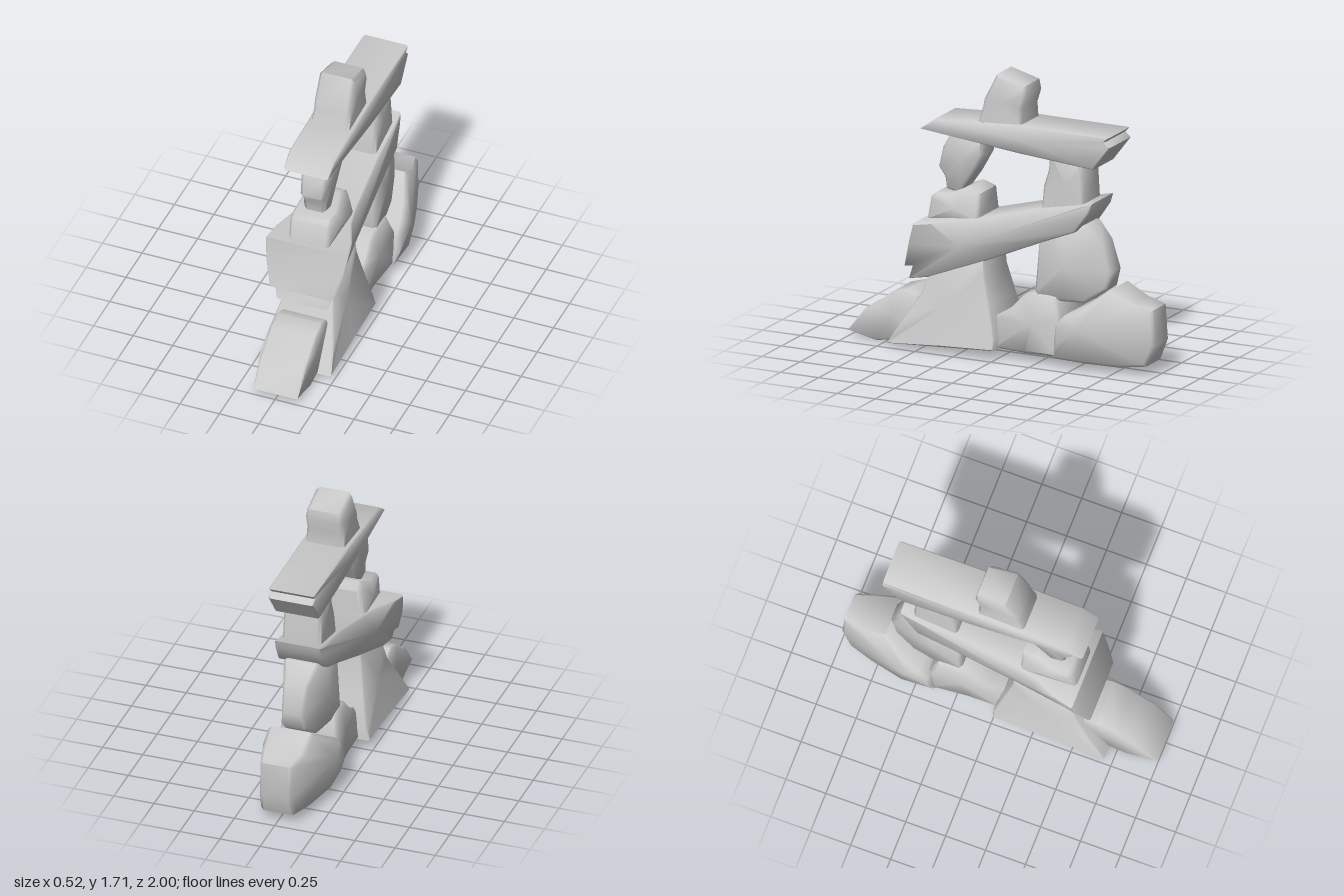
import * as THREE from 'three';
import { toCreasedNormals } from 'three/addons/utils/BufferGeometryUtils.js';

const material = new THREE.MeshStandardMaterial({ color: 0xcccccc });

// A stone is a side outline of [z, y, halfWidth] points, lofted across x
// through four loops. Each flank closes in a fan around the core point.
function stone(name, core, outline, bevel = 0.02) {
  let pts = outline.map(([z, y, w]) => ({ p: new THREE.Vector2(z, y), w }));
  if (THREE.ShapeUtils.isClockWise(pts.map(o => o.p))) pts = pts.reverse();
  const n = pts.length;

  // Inset outline for the two flanks
  const inset = pts.map(({ p }, i) => {
    const d1 = p.clone().sub(pts[(i + n - 1) % n].p).normalize();
    const d2 = pts[(i + 1) % n].p.clone().sub(p).normalize();
    const inward = new THREE.Vector2(-d1.y - d2.y, d1.x + d2.x).normalize();
    return p.clone().addScaledVector(inward, bevel);
  });

  const position = [], index = [];
  for (const [side, flank] of [[-1, true], [-1, false], [1, false], [1, true]]) {
    pts.forEach(({ p, w }, i) => {
      const q = flank ? inset[i] : p;
      position.push(side * (flank ? w : w - bevel), q.y, q.x);
    });
  }
  const [cz, cy, cw] = core;
  position.push(-cw, cy, cz, cw, cy, cz);

  for (let i = 0; i < n; i++) {
    const j = (i + 1) % n;
    // Rim between neighbouring loops
    for (let r = 0; r < 3 * n; r += n) {
      index.push(r + i, r + n + j, r + j, r + i, r + n + i, r + n + j);
    }
    // Flanks
    index.push(i, j, 4 * n, 3 * n + j, 3 * n + i, 4 * n + 1);
  }
  const geometry = new THREE.BufferGeometry();
  geometry.setAttribute('position', new THREE.Float32BufferAttribute(position, 3));
  geometry.setIndex(index);
  const mesh = new THREE.Mesh(toCreasedNormals(geometry, 0.95), material);
  mesh.name = name;
  return mesh;
}

export function createModel() {
  const group = new THREE.Group();
  group.name = 'stackedStones';
  group.add(
    // Ground stones
    stone('frontToeStone', [0.7, 0.17, 0.145], [
      [1, 0.04, 0.14], [0.88, 0.19, 0.145], [0.82, 0.22, 0.145], [0.72, 0.3, 0.145],
      [0.62, 0.33, 0.145], [0.54, 0.3, 0.145], [0.5, 0.06, 0.145], [0.7, 0.02, 0.145], [0.81, 0, 0.145]], 0.01),
    stone('frontBaseStone', [0.32, 0.3, 0.178], [
      [0.7, 0.02, 0.23], [0.6, 0.18, 0.205], [0.5, 0.34, 0.165], [0.46, 0.46, 0.15],
      [0.1, 0.6, 0.14], [0.095, 0.5, 0.15], [0.05, 0.32, 0.18], [0, 0.13, 0.215], [0, 0.06, 0.23],
      [0.35, 0.04, 0.23]], 0.01),
    stone('middleBaseStone', [-0.22, 0.24, 0.165], [
      [0.02, 0.06, 0.16], [0.03, 0.25, 0.14], [-0.06, 0.3, 0.15], [-0.155, 0.4, 0.145],
      [-0.26, 0.43, 0.145], [-0.37, 0.415, 0.16], [-0.42, 0.29, 0.18], [-0.4, 0.06, 0.18], [-0.18, 0.05, 0.16]]),
    stone('rearBoulder', [-0.55, 0.26, 0.232], [
      [-0.37, 0.055, 0.19], [-0.39, 0.16, 0.22], [-0.4, 0.27, 0.22], [-0.46, 0.335, 0.215], [-0.57, 0.39, 0.19],
      [-0.71, 0.495, 0.14], [-0.85, 0.425, 0.13], [-0.98, 0.4, 0.1], [-0.995, 0.19, 0.1],
      [-0.94, 0.055, 0.11], [-0.79, 0.04, 0.15], [-0.58, 0.05, 0.2]]),
    // Lower rear pillar, narrowing to the back
    stone('lowerRearPillar', [-0.42, 0.6, 0.135], [
      [-0.25, 0.78, 0.125], [-0.4, 0.84, 0.125], [-0.54, 0.86, 0.11], [-0.64, 0.76, 0.08], [-0.7, 0.59, 0.07],
      [-0.67, 0.48, 0.08], [-0.54, 0.39, 0.11], [-0.4, 0.39, 0.135], [-0.235, 0.4, 0.135], [-0.225, 0.44, 0.135]]),
    // Sloping slab, broad at the front
    stone('slopingSlab', [0.25, 0.65, 0.18], [
      [0.6, 0.495, 0.2], [0.55, 0.65, 0.243], [0.51, 0.78, 0.26], [0.4, 0.797, 0.24], [0.25, 0.817, 0.18],
      [0.14, 0.83, 0.158], [-0.26, 0.94, 0.145], [-0.53, 0.995, 0.145], [-0.61, 1.015, 0.14],
      [-0.59, 0.955, 0.145], [-0.5, 0.83, 0.16], [-0.28, 0.74, 0.155], [0.1, 0.575, 0.15],
      [0.46, 0.435, 0.16], [0.59, 0.41, 0.16], [0.55, 0.5, 0.19]], 0.01),
    // Front stack
    stone('frontStackLowerStone', [0.3, 0.87, 0.15], [
      [0.49, 0.77, 0.125], [0.46, 0.92, 0.13], [0.43, 0.945, 0.13], [0.34, 0.95, 0.13],
      [0.22, 1, 0.11], [0.145, 0.97, 0.12], [0.14, 0.8, 0.15]]),
    stone('frontStackUpperStone', [0.28, 1.16, 0.08], [
      [0.35, 1.32, 0.075], [0.14, 1.3, 0.08], [0.14, 1.2, 0.085], [0.21, 1.07, 0.075], [0.3, 0.94, 0.07],
      [0.39, 0.96, 0.07], [0.4, 1.03, 0.07], [0.44, 1.09, 0.075], [0.41, 1.21, 0.08]]),
    // Upper rear pillar
    stone('upperRearPillar', [-0.41, 1.1, 0.115], [
      [-0.31, 1.29, 0.11], [-0.51, 1.27, 0.11], [-0.53, 1.17, 0.115], [-0.54, 0.96, 0.12],
      [-0.26, 0.92, 0.12], [-0.27, 1.07, 0.115], [-0.3, 1.17, 0.11]]),
    // Lintel and head
    stone('lintelSlab', [-0.15, 1.34, 0.145], [
      [0.53, 1.325, 0.138], [0.43, 1.395, 0.145], [0.16, 1.41, 0.145], [-0.13, 1.43, 0.145],
      [-0.72, 1.43, 0.14], [-0.69, 1.4, 0.14], [-0.725, 1.37, 0.14], [-0.61, 1.22, 0.14],
      [-0.13, 1.26, 0.145]], 0.01),
    stone('headStone', [0, 1.55, 0.115], [
      [0.04, 1.71, 0.11], [-0.145, 1.66, 0.11], [-0.155, 1.6, 0.115], [-0.13, 1.52, 0.115],
      [-0.135, 1.41, 0.12], [0.16, 1.4, 0.12], [0.13, 1.5, 0.115], [0.12, 1.55, 0.115]])
  );
  return group;
}
